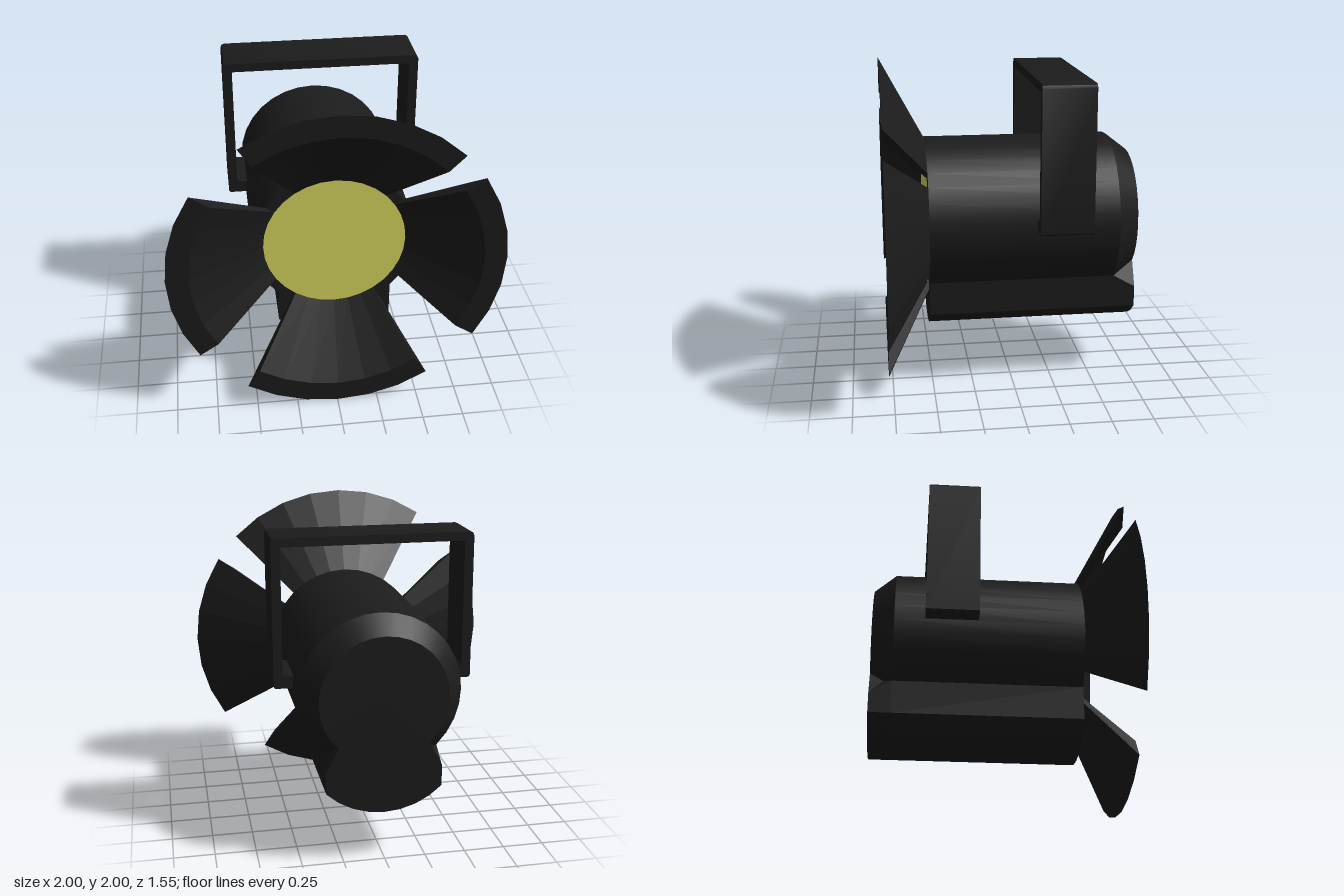
import * as THREE from 'three';
import { toCreasedNormals } from 'three/addons/utils/BufferGeometryUtils.js';

const CX = 0.01, CY = 1.015;      // lamp axis
const R = 0.49, BACK_R = 0.385, LENS_R = 0.43;
const FRONT = 0.51, SHOULDER = -0.64, BACK = -0.775;
const SEGMENTS = 32, STEP = (Math.PI * 2) / SEGMENTS;

// One flared shutter leaf: a wedge-shaped section swept round the lamp axis
function doorGeometry(first, last) {
  // radius, z, centre x, centre y
  const section = [
    [LENS_R, FRONT, CX, CY],
    [R, FRONT, CX, CY],
    [1, 0.775, 0, 1],
    [0.865, 0.775, 0, 1],
  ];
  const positions = [];
  const point = (k, i) => {
    const [r, z, x, y] = section[k % 4];
    return [x + r * Math.cos(i * STEP), y + r * Math.sin(i * STEP), z];
  };
  const quad = (a, b, c, d) => positions.push(...a, ...b, ...c, ...a, ...c, ...d);
  for (let i = first; i < last; i++) {
    for (let k = 0; k < 4; k++) {
      quad(point(k, i), point(k, i + 1), point(k + 1, i + 1), point(k + 1, i));
    }
  }
  quad(...[0, 1, 2, 3].map((k) => point(k, first)));
  quad(...[3, 2, 1, 0].map((k) => point(k, last)));
  const geometry = new THREE.BufferGeometry();
  geometry.setAttribute('position', new THREE.Float32BufferAttribute(positions, 3));
  geometry.computeVertexNormals();
  return geometry;
}

// Extrude an outline between two z values
function extrude(points, zMin, zMax) {
  const shape = new THREE.Shape(points.map(([x, y]) => new THREE.Vector2(x, y)));
  const geometry = new THREE.ExtrudeGeometry(shape, { depth: zMax - zMin, bevelEnabled: false });
  return geometry.translate(0, 0, zMin);
}

export function createModel() {
  const model = new THREE.Group();
  const black = new THREE.MeshStandardMaterial({ color: 0x1c1c1c });
  const yellow = new THREE.MeshStandardMaterial({ color: 0xdcdc62 });
  const add = (name, geometry, material = black) => {
    const mesh = new THREE.Mesh(geometry, material);
    mesh.name = name;
    model.add(mesh);
    return mesh;
  };

  // Lamp barrel with a tapered back end
  const barrel = new THREE.CylinderGeometry(R, R, FRONT - SHOULDER, SEGMENTS);
  barrel.rotateX(Math.PI / 2).translate(CX, CY, (FRONT + SHOULDER) / 2);
  add('barrel', barrel);
  const taper = new THREE.CylinderGeometry(R, BACK_R, SHOULDER - BACK, SEGMENTS);
  taper.rotateX(Math.PI / 2).translate(CX, CY, (SHOULDER + BACK) / 2);
  add('barrelBack', taper);

  // Lens disc
  const lens = new THREE.CircleGeometry(LENS_R, SEGMENTS).translate(CX, CY, FRONT + 0.003);
  add('lens', lens, yellow);

  // Lower housing: the bottom quarter of the barrel pulled downwards
  const drop = 0.205;
  const half = R * Math.SQRT1_2;
  const inset = BACK_R * Math.SQRT1_2;
  const housing = (shoulderY) => {
    const outline = [[CX - inset, CY - inset], [CX - half, shoulderY]];
    for (let i = -4; i <= 4; i++) {
      outline.push([CX + R * Math.sin(i * STEP), CY - drop - R * Math.cos(i * STEP)]);
    }
    outline.push([CX + half, shoulderY], [CX + inset, CY - inset]);
    return outline;
  };
  add('lowerHousing', toCreasedNormals(extrude(housing(CY - half), SHOULDER, FRONT), 0.4));

  // Back end of the lower housing, its shoulders sloping down to the rear
  const rear = extrude(housing(CY - half), BACK, SHOULDER);
  const p = rear.attributes.position;
  for (let i = 0; i < p.count; i++) {
    const atShoulder = Math.abs(p.getY(i) - (CY - half)) < 0.001;
    if (atShoulder && p.getZ(i) < BACK + 0.001) p.setY(i, 0.59);
  }
  add('lowerHousingBack', toCreasedNormals(rear, 0.4));

  // Hanging yoke with small inward toes that meet the barrel
  const side = [
    [0.45, 1.02], [0.59, 1.02], [0.6, 1.03], [0.6, 1.89], [0.592, 1.908], [0.575, 1.915],
  ];
  const inner = [[0.545, 1.862], [0.545, 1.11], [0.53, 1.095], [0.45, 1.095]];
  const mirror = (points) => points.map(([x, y]) => [-x, y]).reverse();
  const yoke = extrude([...side, ...mirror(side), ...mirror(inner), ...inner], -0.455, -0.135);
  add('yoke', toCreasedNormals(yoke.translate(CX, 0, 0), 0.6));

  // Four shutter leaves round the lens; the top one is a step wider
  const doors = { leftDoor: [-3, 3], topDoor: [4, 11], rightDoor: [13, 19], bottomDoor: [21, 27] };
  for (const [name, [first, last]] of Object.entries(doors)) {
    add(name, doorGeometry(first, last));
  }
  return model;
}
